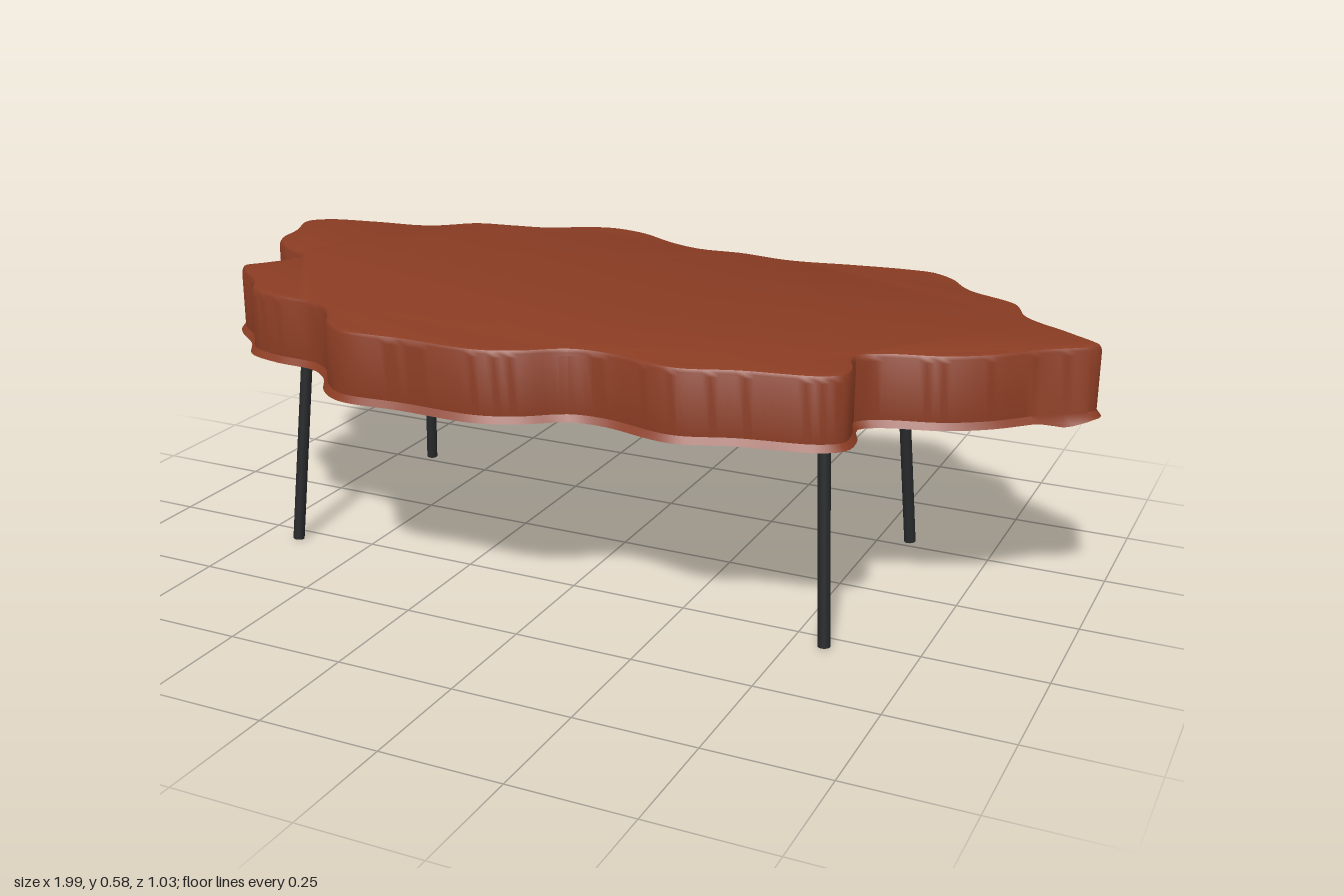
import * as THREE from 'three';
import { toCreasedNormals } from 'three/addons/utils/BufferGeometryUtils.js';

const wood = new THREE.MeshStandardMaterial({ color: 0x8a3c23 });
wood.name = 'reddish wood';
const metal = new THREE.MeshStandardMaterial({ color: 0x27292b });
metal.name = 'black metal';

// Live-edge outline as [x, z], starting at the pointed end and running along the back
const OUTLINE = [
  [0.993, -0.06], [0.92, -0.12], [0.82, -0.19], [0.775, -0.275], [0.66, -0.34], [0.605, -0.41],
  [0.55, -0.447], [0.48, -0.45], [0.36, -0.435], [0.22, -0.413], [0.1, -0.428], [0, -0.423],
  [-0.08, -0.45], [-0.18, -0.505], [-0.27, -0.52], [-0.34, -0.5], [-0.42, -0.455], [-0.5, -0.44],
  [-0.6, -0.42], [-0.69, -0.35], [-0.82, -0.33], [-0.95, -0.3], [-0.995, -0.25], [-0.965, -0.16],
  [-0.945, -0.07], [-0.88, 0], [-0.805, 0.045], [-0.84, 0.11], [-0.875, 0.16], [-0.85, 0.2],
  [-0.78, 0.26], [-0.73, 0.325], [-0.65, 0.35], [-0.55, 0.36], [-0.5, 0.395], [-0.45, 0.465],
  [-0.39, 0.503], [-0.25, 0.5], [-0.08, 0.5], [0, 0.47], [0.08, 0.418], [0.15, 0.412],
  [0.3, 0.44], [0.42, 0.403], [0.57, 0.37], [0.612, 0.335], [0.612, 0.28], [0.593, 0.22],
  [0.63, 0.192], [0.74, 0.158], [0.82, 0.11], [0.9, 0.035], [0.985, -0.03],
];

// Edge section as [inset, y]: flared lip, straight wall, rounded top edge
const SECTION = [
  [0, 0.43], [0.004, 0.435], [0.01, 0.443], [0.01, 0.56], [0.0115, 0.567], [0.0155, 0.573], [0.021, 0.575],
];

function slabGeometry(count) {
  const curve = new THREE.CatmullRomCurve3(
    OUTLINE.map(([x, z]) => new THREE.Vector3(x, 0, z)), true, 'centripetal');
  const base = Array.from({ length: count }, (_, i) => curve.getPointAt(i / count));
  const positions = [];
  const index = [];
  SECTION.forEach(([inset, y], ring) => {
    base.forEach((p, i) => {
      const t = base[(i + 1) % count].clone().sub(base[(i + count - 1) % count]).normalize();
      // the lip sags a little beside the pointed end
      const sag = ring < 2 ? 0.012 * Math.max(0, 1 - Math.hypot(p.x - 0.94, p.z - 0.005) / 0.06) : 0;
      positions.push(p.x + t.z * inset, y - sag, p.z - t.x * inset);
    });
  });
  for (let r = 0; r < SECTION.length - 1; r++) {
    for (let i = 0; i < count; i++) {
      const j = (i + 1) % count;
      const a = r * count + i, b = r * count + j;
      index.push(a, b, a + count, b, b + count, a + count);
    }
  }
  // flat top and underside
  const top = (SECTION.length - 1) * count;
  const flat = base.map((p) => new THREE.Vector2(p.x, -p.z));
  for (const [a, b, c] of THREE.ShapeUtils.triangulateShape(flat, [])) {
    index.push(top + a, top + b, top + c, a, c, b);
  }
  const geometry = new THREE.BufferGeometry();
  geometry.setAttribute('position', new THREE.Float32BufferAttribute(positions, 3));
  geometry.setIndex(index);
  return toCreasedNormals(geometry, 0.6);
}

// Round bar between two points
function bar(name, from, to, radius) {
  const a = new THREE.Vector3(...from), b = new THREE.Vector3(...to);
  const dir = b.clone().sub(a);
  const mesh = new THREE.Mesh(new THREE.CylinderGeometry(radius, radius, dir.length(), 16), metal);
  mesh.name = name;
  mesh.position.copy(a).add(b).multiplyScalar(0.5);
  mesh.quaternion.setFromUnitVectors(new THREE.Vector3(0, 1, 0), dir.normalize());
  return mesh;
}

export function createModel() {
  const table = new THREE.Group();
  table.name = 'coffeeTable';

  const slab = new THREE.Mesh(slabGeometry(320), wood);
  slab.name = 'tableTop';
  table.add(slab);

  // Two splayed leg frames, each a crossbar with two legs
  const midZ = 0.008;
  for (const [name, topX, footX] of [['leftFrame', 0.54, 0.568], ['rightFrame', -0.637, -0.665]]) {
    const frame = new THREE.Group();
    frame.name = name;
    frame.add(bar('crossbar', [topX, 0.409, midZ - 0.252], [topX, 0.409, midZ + 0.252], 0.014));
    for (const [leg, s] of [['frontLeg', 1], ['backLeg', -1]]) {
      frame.add(bar(leg, [footX, 0.001, midZ + s * 0.284], [topX, 0.417, midZ + s * 0.25], 0.0125));
    }
    table.add(frame);
  }
  return table;
}
